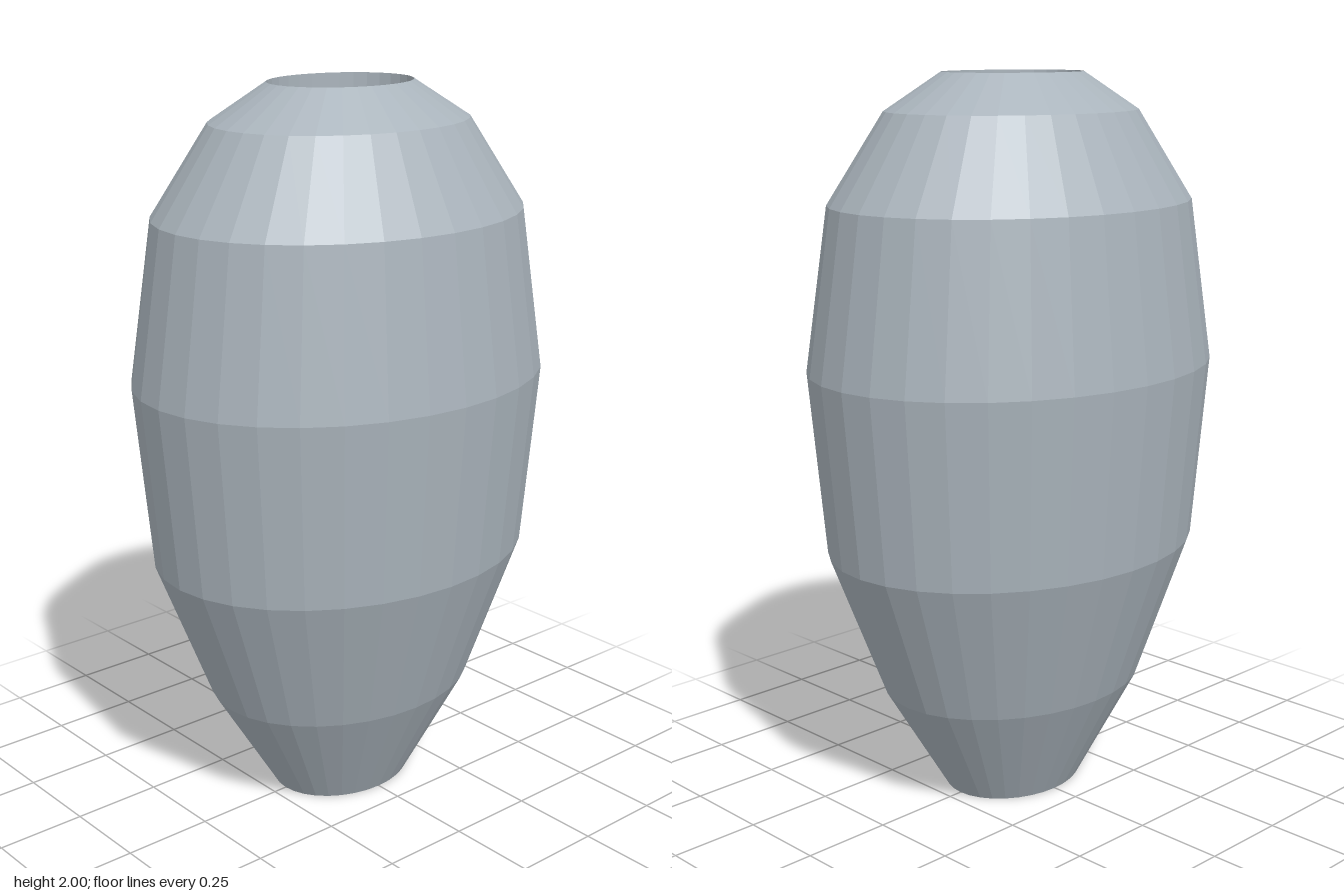
import * as THREE from 'three';

const SEGMENTS = 32;
const DEPTH_RATIO = 0.805; // oval cross-section: z radius / x radius

// Outer silhouette as [x radius, height], bottom to top
const PROFILE = [
  [0.21, 0], [0.4, 0.31], [0.56, 0.715], [0.608, 1.22],
  [0.54, 1.66], [0.375, 1.9], [0.21, 2],
];

// Faceted oval lathe with hard edges
function ovalLathe(name, points, material) {
  const lathe = new THREE.LatheGeometry(points.map(([r, y]) => new THREE.Vector2(r, y)), SEGMENTS);
  lathe.scale(1, 1, DEPTH_RATIO);
  const geometry = lathe.toNonIndexed();
  geometry.computeVertexNormals();
  const mesh = new THREE.Mesh(geometry, material);
  mesh.name = name;
  return mesh;
}

export function createModel() {
  const group = new THREE.Group();
  group.name = 'barrelBead';

  const steel = new THREE.MeshStandardMaterial({ color: 0xaab4bc });
  steel.name = 'blue grey';

  // Bulging outer body
  group.add(ovalLathe('outerBody', PROFILE, steel));

  // Straight bore, wound top to bottom so that it faces the axis
  const top = PROFILE[PROFILE.length - 1];
  group.add(ovalLathe('bore', [top, PROFILE[0]], steel));

  return group;
}
